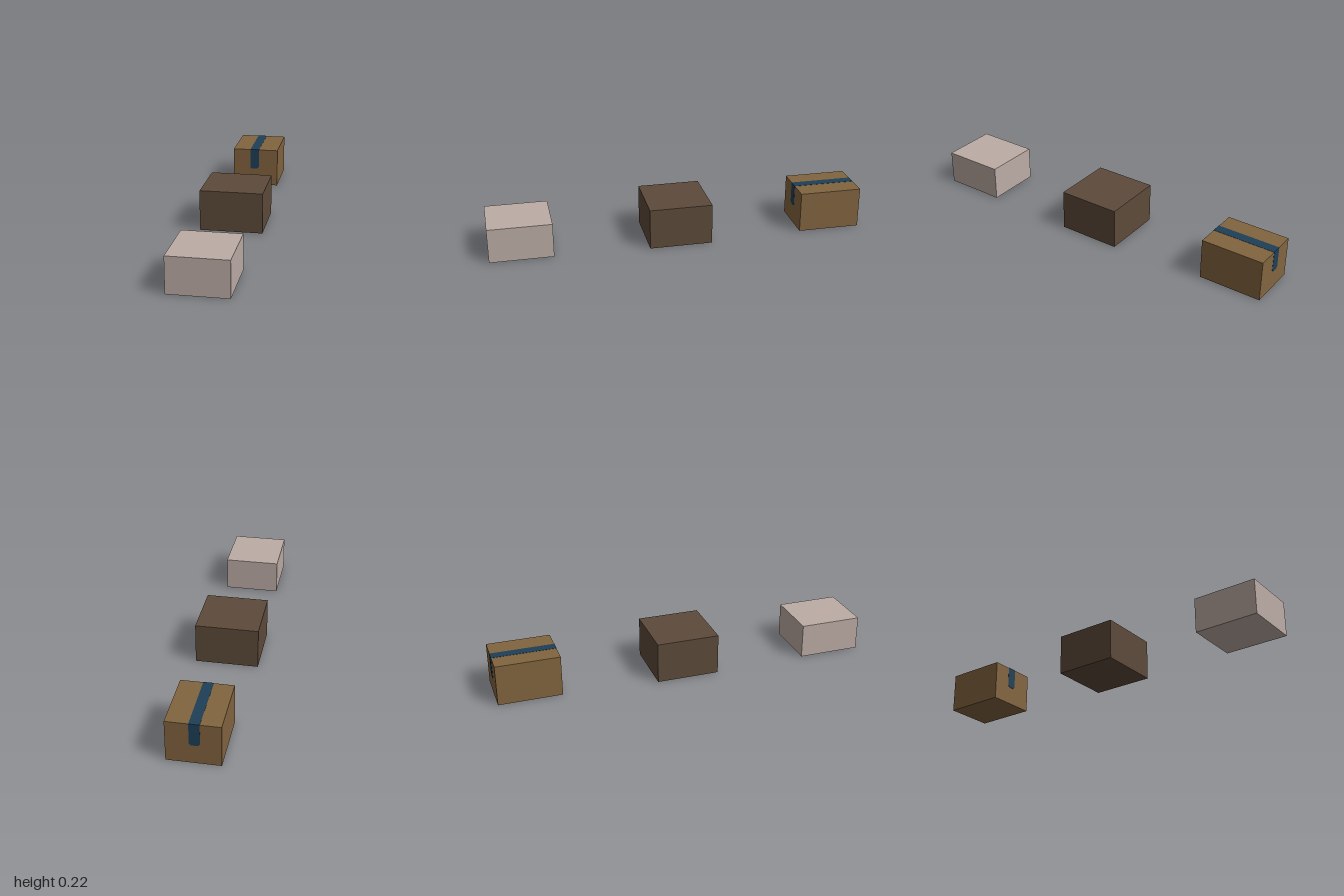
import * as THREE from 'three';

const material = (name, color) => {
  const m = new THREE.MeshStandardMaterial({ color });
  m.name = name;
  return m;
};

export function createModel() {
  const pale = material('pale pink', 0xbcaca5);
  const dark = material('dark brown', 0x5d4a3a);
  const tan = material('cardboard tan', 0x82643f);
  const blue = material('tape blue', 0x1e3f56);

  const model = new THREE.Group();
  model.name = 'boxRow';

  const add = (parent, name, geometry, mat, x, y, z) => {
    const mesh = new THREE.Mesh(geometry, mat);
    mesh.name = name;
    mesh.position.set(x, y, z);
    parent.add(mesh);
    return mesh;
  };

  // Box standing on the ground
  const addBox = (parent, name, w, h, d, mat, z) =>
    add(parent, name, new THREE.BoxGeometry(w, h, d), mat, 0, h / 2, z);

  addBox(model, 'paleBox', 0.3, 0.184, 0.333, pale, 0.8335);
  addBox(model, 'darkBox', 0.333, 0.217, 0.333, dark, 0);

  // Taped cardboard box
  const taped = new THREE.Group();
  taped.name = 'tapedBox';
  taped.position.z = -0.8335;
  model.add(taped);
  const h = 0.217, d = 0.333, t = 0.001;
  addBox(taped, 'cardboard', 0.264, h, d, tan, 0);

  // Tape strip over the top, slightly off centre
  const tapeX = -0.006, half = 0.026, drop = 0.118, cut = 0.01;
  add(taped, 'topTape', new THREE.BoxGeometry(half * 2, t, d + 2 * t), blue, tapeX, h + t / 2, 0);

  // Tape ends hanging down the front and back, with clipped lower corners
  const end = new THREE.Shape([
    [-half, 0], [-half, -drop + cut], [-half + cut, -drop],
    [half - cut, -drop], [half, -drop + cut], [half, 0],
  ].map(([x, y]) => new THREE.Vector2(x, y)));
  const endGeometry = new THREE.ExtrudeGeometry(end, { depth: t, bevelEnabled: false });
  add(taped, 'frontTape', endGeometry, blue, tapeX, h, d / 2);
  add(taped, 'backTape', endGeometry, blue, tapeX, h, -d / 2 - t);

  return model;
}
